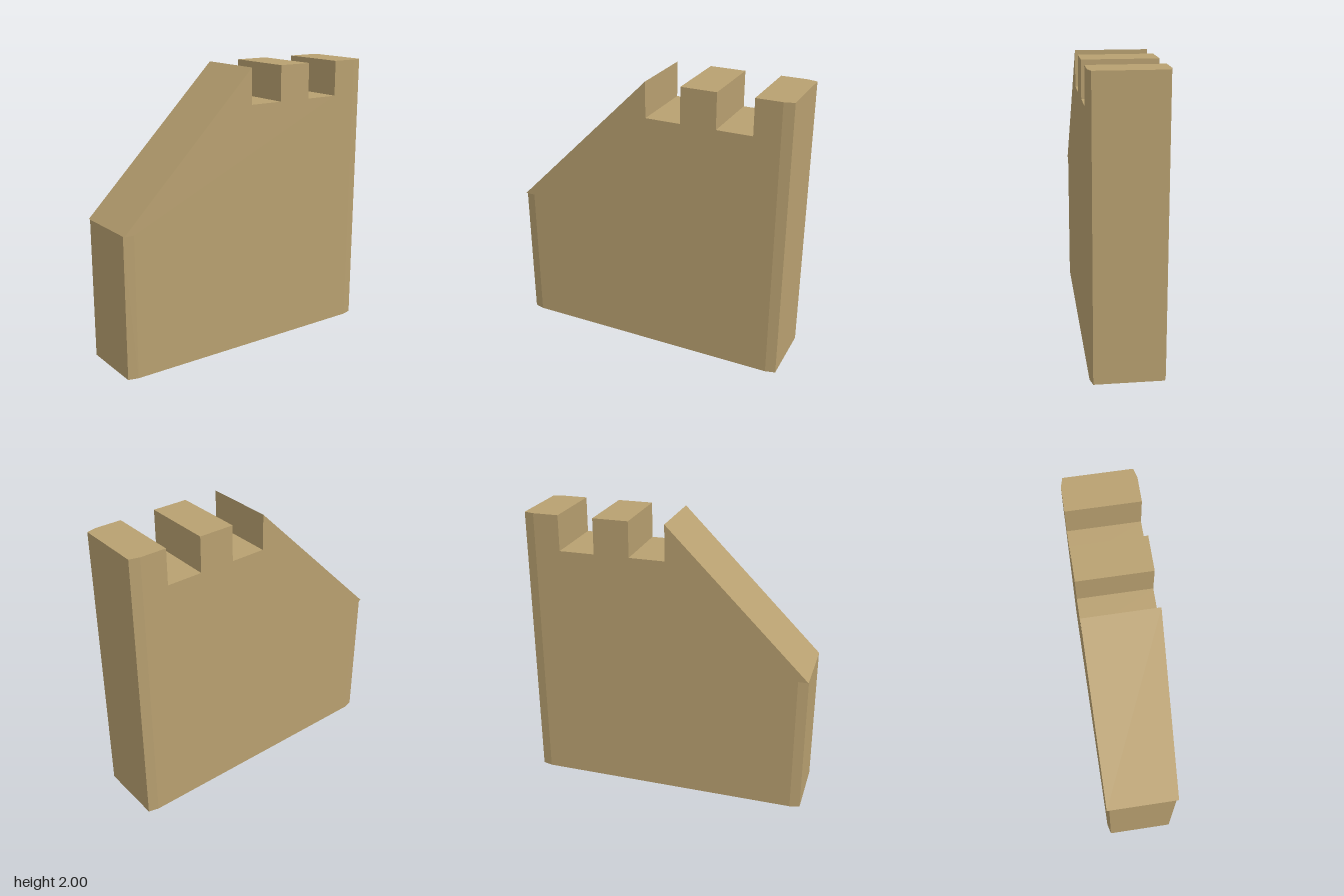
import * as THREE from 'three';

const HALF_DEPTH = 0.25; // wall half thickness
const END_DEPTH = 0.232; // half thickness at the tapered ends
const TAPER_X = 0.93;    // where the end tapers begin

const extrude = (points, depth) => new THREE.ExtrudeGeometry(
  new THREE.Shape(points.map(([x, y]) => new THREE.Vector2(x, y))),
  { depth, bevelEnabled: false }
);

export function createModel() {
  const group = new THREE.Group();
  group.name = 'battlementWall';
  const stone = new THREE.MeshStandardMaterial({ color: 0xb8a070 });
  stone.name = 'sandstone';

  const add = (name, geometry) => {
    const mesh = new THREE.Mesh(geometry, stone);
    mesh.name = name;
    group.add(mesh);
  };

  // Wall body: sloped shoulder, with its lip over the low end, and two crenels
  const profile = [[-TAPER_X, 0], [TAPER_X, 0], [TAPER_X, 2]];
  for (const x of [0.5, 0]) {
    profile.push([x + 0.25, 2], [x + 0.25, 1.75], [x, 1.75], [x, 2]);
  }
  profile.push([-1, 1], [-TAPER_X, 1]);
  add('wallBody', extrude(profile, HALF_DEPTH * 2).translate(0, 0, -HALF_DEPTH));

  // Tapered ends: plan outline raised to the height of each end
  for (const [name, side, height] of [['highEnd', 1, 2], ['lowEnd', -1, 1]]) {
    const plan = [
      [side * TAPER_X, -HALF_DEPTH], [side, -END_DEPTH],
      [side, END_DEPTH], [side * TAPER_X, HALF_DEPTH],
    ];
    add(name, extrude(plan, height).rotateX(-Math.PI / 2));
  }

  return group;
}
